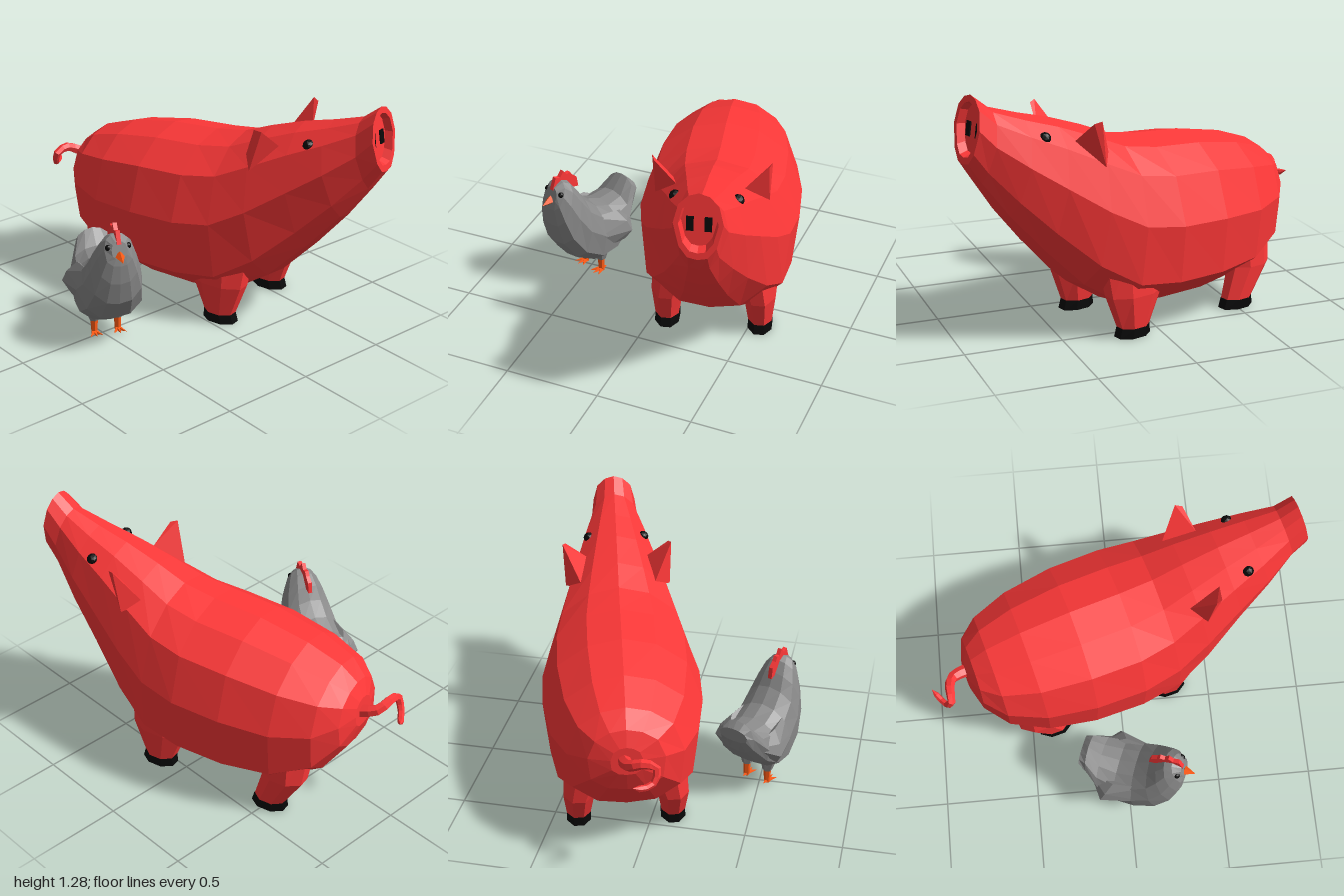
import * as THREE from 'three';
import { ConvexGeometry } from 'three/addons/geometries/ConvexGeometry.js';

const mat = (color) => new THREE.MeshStandardMaterial({ color, flatShading: true });
const V = (x, y, z) => new THREE.Vector3(x, y, z);

// Skin closed rings of equal point count, capping both ends
function loft(rings) {
  const n = rings[0].length, pos = [], idx = [];
  rings.forEach((r) => r.forEach((p) => pos.push(p.x, p.y, p.z)));
  for (let i = 0; i < rings.length - 1; i++) {
    for (let j = 0; j < n; j++) {
      const a = i * n + j, b = i * n + (j + 1) % n;
      idx.push(a, a + n, b, b, a + n, b + n);
    }
  }
  [0, rings.length - 1].forEach((r, end) => {
    const c = centre(rings[r]), k = pos.length / 3;
    pos.push(c.x, c.y, c.z);
    for (let j = 0; j < n; j++) {
      const a = r * n + j, b = r * n + (j + 1) % n;
      if (end) idx.push(k, b, a); else idx.push(k, a, b);
    }
  });
  const g = new THREE.BufferGeometry();
  g.setAttribute('position', new THREE.Float32BufferAttribute(pos, 3));
  g.setIndex(idx);
  g.computeVertexNormals();
  return g;
}

function centre(ring) {
  return ring.reduce((s, p) => s.add(p), V(0, 0, 0)).divideScalar(ring.length);
}

// Body section from [top z, top y, bottom z, bottom y, half width, lower fullness]
function section([zt, yt, zb, yb, w, full = 0.93]) {
  const half = [[0, 1], [0.42, 0.955], [0.8, 0.82], [1, 0.54], [full, 0.19], [full * 0.54, 0.03], [0, 0]];
  const at = (u, f) => V(u * w, yb + (yt - yb) * f, zb + (zt - zb) * f);
  return [...half.map(([u, f]) => at(u, f)), ...half.slice(1, -1).reverse().map(([u, f]) => at(-u, f))];
}

// Horizontal ring for legs
function ring(x, y, z, rx, rz, n = 8) {
  return Array.from({ length: n }, (_, i) => {
    const a = ((i + 0.5) / n) * Math.PI * 2;
    return V(x + rx * Math.cos(a), y, z + rz * Math.sin(a));
  });
}

function add(parent, name, geometry, material, x = 0, y = 0, z = 0) {
  const m = new THREE.Mesh(geometry, material);
  m.name = name;
  m.position.set(x, y, z);
  parent.add(m);
  return m;
}

function createPig(red, black) {
  const pig = new THREE.Group();
  pig.name = 'pig';

  // Body and head, rump to snout
  const rings = [
    [-0.835, 0.67, -0.845, 0.52, 0.08],
    [-0.80, 0.75, -0.81, 0.41, 0.19],
    [-0.71, 0.82, -0.70, 0.25, 0.29],
    [-0.52, 0.885, -0.50, 0.14, 0.37],
    [-0.25, 0.935, -0.25, 0.11, 0.412],
    [0.02, 0.955, 0.02, 0.11, 0.415],
    [0.20, 0.985, 0.25, 0.13, 0.38],
    [0.36, 1.05, 0.45, 0.26, 0.325, 0.88],
    [0.55, 1.115, 0.65, 0.47, 0.255, 0.8],
    [0.72, 1.16, 0.82, 0.67, 0.195, 0.75],
    [0.88, 1.21, 0.95, 0.85, 0.13, 0.7],
    [0.97, 1.28, 1.02, 0.955, 0.115, 0.75],
  ].map(section);
  // Snout rim and recessed disc
  const rim = rings[rings.length - 1], c = centre(rim);
  const inset = (k, dz) => rim.map((p) => p.clone().sub(c).multiplyScalar(k).add(c).add(V(0, 0, dz)));
  rings.push(inset(0.8, 0), inset(0.72, -0.04));
  add(pig, 'pigBody', loft(rings), red);

  for (const s of [-1, 1]) {
    add(pig, 'nostril', new THREE.BoxGeometry(0.034, 0.07, 0.012), black, s * 0.042, 1.11, 0.957).rotation.x = -0.14;
    add(pig, 'pigEye', new THREE.IcosahedronGeometry(0.03, 1), black, s * 0.148, 1.055, 0.66);
    const ear = [
      V(s * 0.29, 1.13, 0.43), V(s * 0.275, 1.12, 0.465), V(s * 0.165, 1.02, 0.5),
      V(s * 0.19, 0.93, 0.32), V(s * 0.28, 0.9, 0.4),
    ];
    add(pig, 'pigEar', new ConvexGeometry(ear), red);

    // Legs flare up into the body; knee and top are [x, z, rx, rz]
    for (const [name, zf, knee, top] of [
      ['front', 0.215, [0.24, 0.21, 0.09, 0.16], [0.19, 0.2, 0.13, 0.2]],
      ['back', -0.46, [0.24, -0.54, 0.085, 0.12], [0.18, -0.53, 0.13, 0.16]],
    ]) {
      add(pig, name + 'Leg', loft([
        ring(s * 0.245, 0.045, zf, 0.066, 0.088),
        ring(s * knee[0], 0.22, knee[1], knee[2], knee[3]),
        ring(s * top[0], 0.48, top[1], top[2], top[3]),
      ]), red);
      add(pig, name + 'Hoof', loft([
        ring(s * 0.245, 0, zf + 0.005, 0.068, 0.1),
        ring(s * 0.245, 0.05, zf, 0.067, 0.09),
      ]), black);
    }
  }
  pig.position.x = 0.255;
  pig.rotation.y = 0.262;
  return pig;
}

// Curly tail, tapered by pulling each tube ring toward the path
function createTail(material) {
  const path = new THREE.CatmullRomCurve3([
    V(0.065, 0.59, -0.78), V(0.01, 0.62, -0.88), V(-0.06, 0.65, -0.895), V(-0.125, 0.635, -0.89),
    V(-0.12, 0.57, -0.92), V(-0.08, 0.555, -0.955), V(-0.03, 0.575, -0.995),
  ]);
  const steps = 12, sides = 6;
  const g = new THREE.TubeGeometry(path, steps, 0.036, sides);
  const p = g.attributes.position, v = V(0, 0, 0);
  for (let i = 0; i < p.count; i++) {
    const t = Math.floor(i / (sides + 1)) / steps;
    v.fromBufferAttribute(p, i).lerp(path.getPointAt(t), t > 0.99 ? 1 : 0.55 * Math.min(1, t * 1.3));
    p.setXYZ(i, v.x, v.y, v.z);
  }
  const tail = new THREE.Mesh(g, material);
  tail.name = 'pigTail';
  return tail;
}

function createChicken(red, black) {
  const grey = mat(0x8a8a8a), orange = mat(0xff5a14);
  const hen = new THREE.Group();
  hen.name = 'chicken';

  // Body from tail through breast to head
  add(hen, 'chickenBody', loft([
    [-0.255, 0.465, -0.25, 0.39, 0.08],
    [-0.22, 0.5, -0.2, 0.3, 0.1],
    [-0.15, 0.425, -0.12, 0.2, 0.145],
    [-0.05, 0.42, -0.03, 0.13, 0.165],
    [0.04, 0.46, 0.08, 0.11, 0.165],
    [0.11, 0.53, 0.2, 0.18, 0.155],
    [0.15, 0.6, 0.28, 0.3, 0.13],
    [0.19, 0.655, 0.305, 0.42, 0.1],
    [0.23, 0.67, 0.31, 0.52, 0.07],
    [0.28, 0.645, 0.305, 0.56, 0.04],
  ].map(section)), grey);

  // Comb
  const comb = new THREE.Shape([
    [-0.11, 0.58], [-0.12, 0.64], [-0.15, 0.665], [-0.165, 0.69], [-0.19, 0.685], [-0.21, 0.715],
    [-0.235, 0.685], [-0.265, 0.695], [-0.29, 0.63], [-0.25, 0.61],
  ].map(([x, y]) => new THREE.Vector2(x, y)));
  add(hen, 'comb', new THREE.ExtrudeGeometry(comb, { depth: 0.022, bevelEnabled: false }), red, -0.011).rotation.y = Math.PI / 2;

  // Beak
  const beak = add(hen, 'beak', new THREE.ConeGeometry(0.028, 0.065, 4), orange, 0, 0.565, 0.325);
  beak.rotation.x = Math.PI / 2 + 0.2;

  for (const s of [-1, 1]) {
    add(hen, 'chickenEye', new THREE.IcosahedronGeometry(0.017, 1), black, s * 0.05, 0.61, 0.268);

    // Wing: shoulder, outer tip and back edge
    add(hen, 'wing', new ConvexGeometry([
      V(s * 0.11, 0.42, 0.12), V(s * 0.145, 0.3, 0.15), V(s * 0.14, 0.2, 0.04), V(s * 0.13, 0.4, -0.05),
      V(s * 0.18, 0.34, -0.08), V(s * 0.2, 0.28, -0.1), V(s * 0.165, 0.22, -0.08), V(s * 0.08, 0.33, -0.19),
    ]), grey);

    // Thigh, shank and toes
    const x = s * 0.063, z = 0.01;
    add(hen, 'thigh', loft([ring(x, 0.085, z, 0.026, 0.026, 6), ring(x * 1.1, 0.25, z + 0.02, 0.075, 0.09, 6)]), grey);
    add(hen, 'shank', new THREE.CylinderGeometry(0.021, 0.016, 0.1, 6), orange, x, 0.055, z);
    for (const a of [-0.55, 0, 0.55, Math.PI]) {
      const len = a > 3 ? 0.04 : 0.065;
      const toe = new THREE.ConeGeometry(0.015, len, 5).rotateX(Math.PI / 2).translate(0, 0, len / 2);
      add(hen, 'toe', toe, orange, x, 0.014, z).rotation.y = a;
    }
  }
  hen.position.x = -0.48;
  hen.rotation.y = -0.375;
  return hen;
}

export function createModel() {
  const model = new THREE.Group();
  model.name = 'pigAndChicken';
  const red = mat(0xff3838), black = mat(0x080808);
  model.add(createPig(red, black), createTail(red), createChicken(red, black));
  return model;
}
